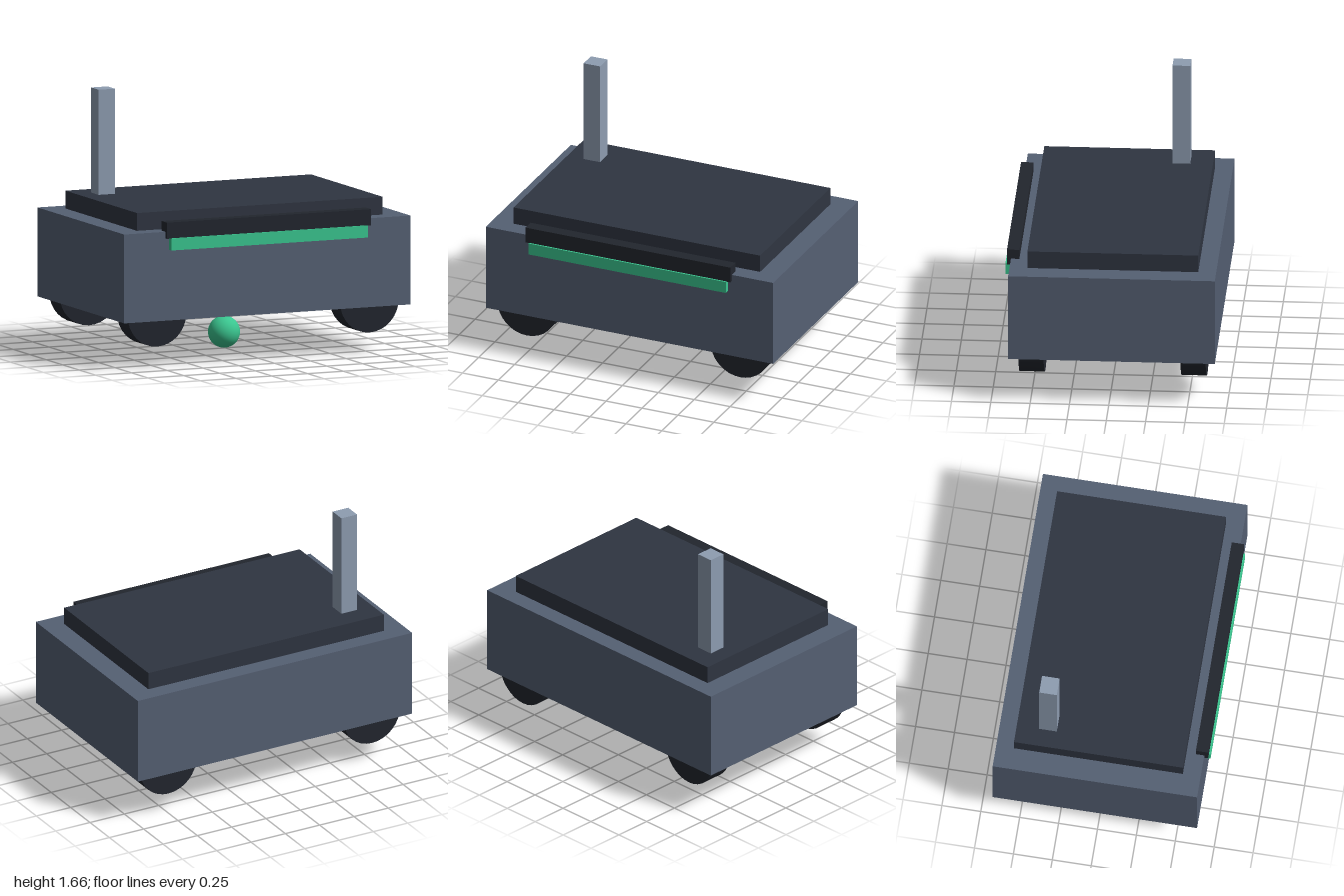
import * as THREE from 'three';

const paint = (color) => new THREE.MeshStandardMaterial({ color });

export function createModel() {
  const group = new THREE.Group();
  const slate = paint(0x556073);
  const charcoal = paint(0x2f3541);
  const black = paint(0x22262e);
  const steel = paint(0x8e9db1);
  const green = paint(0x3ac58f);
  const midZ = -0.017; // centre line of the chassis

  function add(name, geometry, material, x, y, z) {
    const mesh = new THREE.Mesh(geometry, material);
    mesh.name = name;
    mesh.position.set(x, y, z);
    group.add(mesh);
    return mesh;
  }
  // Box given by its lower and upper limits
  function box(name, material, [x0, x1], [y0, y1], [z0, z1]) {
    const geometry = new THREE.BoxGeometry(x1 - x0, y1 - y0, z1 - z0);
    add(name, geometry, material, (x0 + x1) / 2, (y0 + y1) / 2, (z0 + z1) / 2);
  }

  // Chassis and top plate
  box('body', slate, [-1, 1], [0.302, 0.872], [-0.674, 0.64]);
  box('topPlate', charcoal, [-0.858, 0.858], [0.872, 0.986], [-0.56, 0.526]);

  // Mast at the back right
  box('mast', steel, [-0.744, -0.63], [0.986, 1.66], [-0.416, -0.303]);

  // Front bumper with the light strip below it
  box('bumper', black, [-0.713, 0.713], [0.83, 0.934], [0.586, 0.665]);
  box('lightStrip', green, [-0.687, 0.687], [0.755, 0.832], [0.62, 0.676]);

  // Wheels, half sunk into the chassis
  const wheelGeometry = new THREE.CylinderGeometry(0.205, 0.205, 0.16, 32).rotateX(Math.PI / 2);
  for (const x of [-0.742, 0.742]) {
    for (const side of [1, -1]) {
      add(side > 0 ? 'frontWheel' : 'backWheel', wheelGeometry, black, x, 0.335, midZ + side * 0.515);
    }
  }

  // Ball under the chassis
  add('ball', new THREE.SphereGeometry(0.102, 32, 20), green, 0, 0.102, midZ);

  return group;
}
